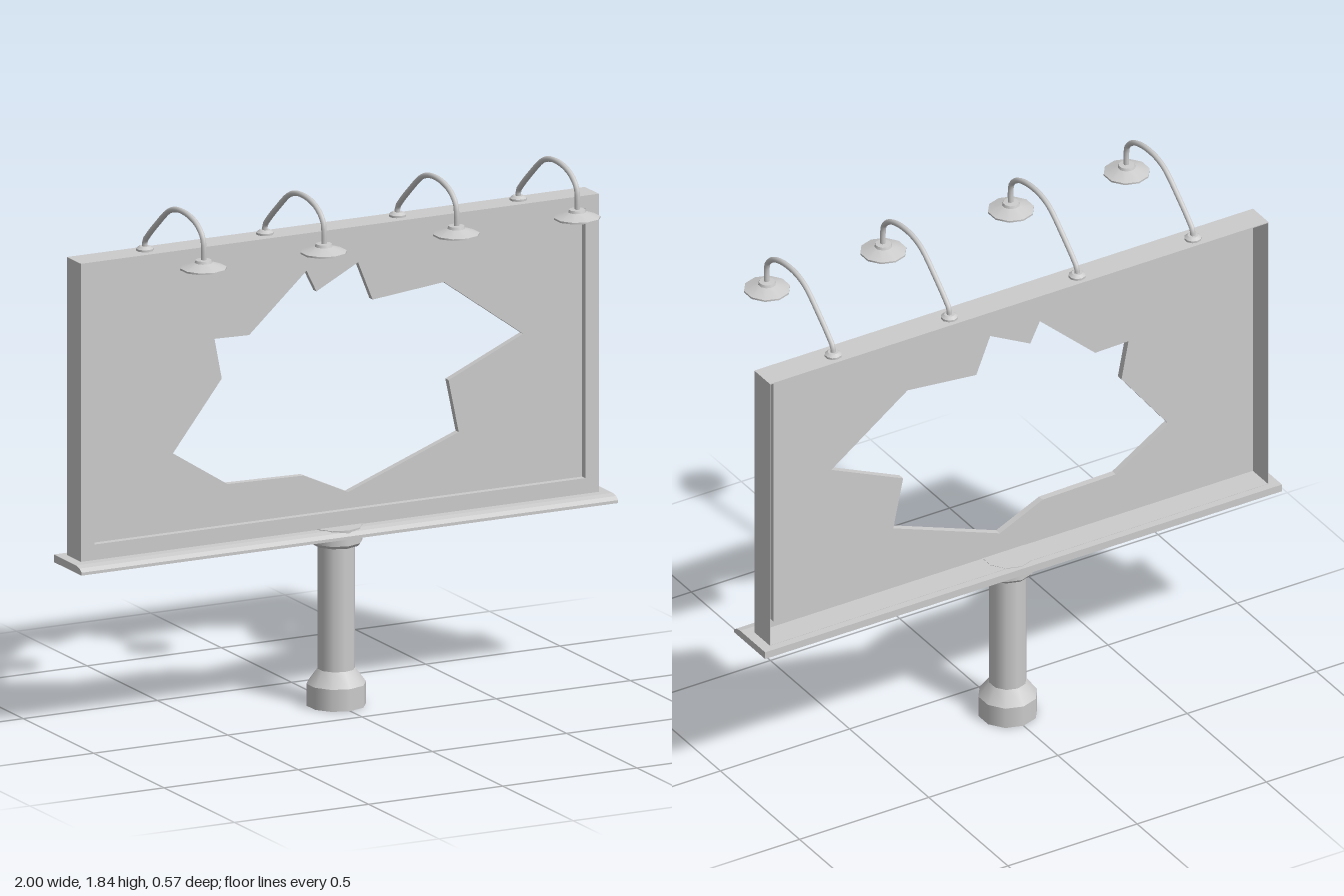
import * as THREE from 'three';

const mat = new THREE.MeshStandardMaterial({ color: 0xcccccc, side: THREE.DoubleSide });

function add(parent, name, geo, x = 0, y = 0, z = 0) {
  const m = new THREE.Mesh(geo, mat);
  m.name = name;
  m.position.set(x, y, z);
  parent.add(m);
  return m;
}

const rect = (w, y0, y1) =>
  [[-w, y0], [w, y0], [w, y1], [-w, y1]].map(([x, y]) => new THREE.Vector2(x, y));

// Plate with one hole, reaching from z0 (back) to z1 (front)
function plate(parent, name, outline, hole, z0, z1) {
  const s = new THREE.Shape(outline);
  s.holes.push(new THREE.Path(hole));
  const geo = new THREE.ExtrudeGeometry(s, { depth: z1 - z0, bevelEnabled: false });
  return add(parent, name, geo, 0, 0, z0);
}

// Turned part: each straight band keeps its own normals, so the edges stay sharp
function turned(parent, name, profile, sides, x, y, z) {
  const g = new THREE.Group();
  g.name = name;
  g.position.set(x, y, z);
  for (let i = 0; i < profile.length - 1; i++) {
    const band = [profile[i], profile[i + 1]].map(([r, h]) => new THREE.Vector2(r, h));
    add(g, name + 'Band', new THREE.LatheGeometry(band, sides));
  }
  parent.add(g);
  return g;
}

export function createModel() {
  const root = new THREE.Group();
  root.name = 'billboard';

  // Post: open foot, taper, shaft and collar that passes through the ledge
  turned(root, 'post', [
    [0.1, 0], [0.1, 0.075], [0.063, 0.125], [0.063, 0.55],
    [0.08, 0.55], [0.088, 0.56], [0.088, 0.614], [0, 0.614],
  ], 10, 0, 0, -0.183);

  // Ledge: side profile with a sloped front lip, run along x
  const profile = [[-0.283, 0.586], [-0.283, 0.612], [-0.125, 0.612], [-0.1, 0.607], [-0.086, 0.596], [-0.086, 0.586]];
  const ledge = new THREE.ExtrudeGeometry(
    new THREE.Shape(profile.map(([z, y]) => new THREE.Vector2(-z, y))),
    { depth: 2, bevelEnabled: false });
  ledge.rotateY(Math.PI / 2);
  add(root, 'ledge', ledge, -1);

  // Frame: thin open-backed box, front border and sleeve around the recess
  const outer = rect(0.965, 0.61, 1.63);
  const inner = rect(0.915, 0.665, 1.586);
  plate(root, 'frameWalls', outer, rect(0.962, 0.613, 1.627), -0.256, -0.158);
  plate(root, 'frontBorder', outer, inner, -0.161, -0.157);
  plate(root, 'recessSleeve', rect(0.918, 0.662, 1.589), inner, -0.203, -0.159);

  // Panel with a jagged hole torn through it
  const tear = [
    [-0.112, 1.495], [-0.075, 1.42], [0.08, 1.5], [0.134, 1.366], [0.4, 1.393],
    [0.695, 1.18], [0.417, 1.056], [0.455, 0.874], [0.043, 0.72], [-0.123, 0.797],
    [-0.406, 0.803], [-0.61, 0.933], [-0.428, 1.166], [-0.455, 1.305], [-0.326, 1.302],
  ].map(([x, y]) => new THREE.Vector2(x, y));
  plate(root, 'panel', inner, tear, -0.203, -0.18);

  // Gooseneck lamps along the top
  const arm = new THREE.CatmullRomCurve3([
    [1.635, -0.213], [1.662, -0.211], [1.685, -0.19], [1.745, -0.12], [1.805, -0.04],
    [1.822, 0.01], [1.826, 0.06], [1.82, 0.115], [1.802, 0.165], [1.77, 0.2], [1.74, 0.207], [1.69, 0.207],
  ].map(([y, z]) => new THREE.Vector3(0, y, z)), false, 'centripetal');
  const armGeo = new THREE.TubeGeometry(arm, 32, 0.0095, 8);

  for (const x of [-0.698, -0.25, 0.244, 0.694]) {
    const lamp = new THREE.Group();
    lamp.name = 'lamp';
    lamp.position.x = x;
    add(lamp, 'arm', armGeo);
    turned(lamp, 'mount', [[0.029, 0], [0.029, 0.008], [0.018, 0.016], [0, 0.016]], 10, 0, 1.629, -0.213);
    turned(lamp, 'shade', [
      [0, 0.004], [0.07, 0.002], [0.078, 0], [0.078, 0.006], [0.03, 0.023], [0.027, 0.032], [0, 0.034],
    ], 10, 0, 1.664, 0.205);
    root.add(lamp);
  }

  return root;
}
